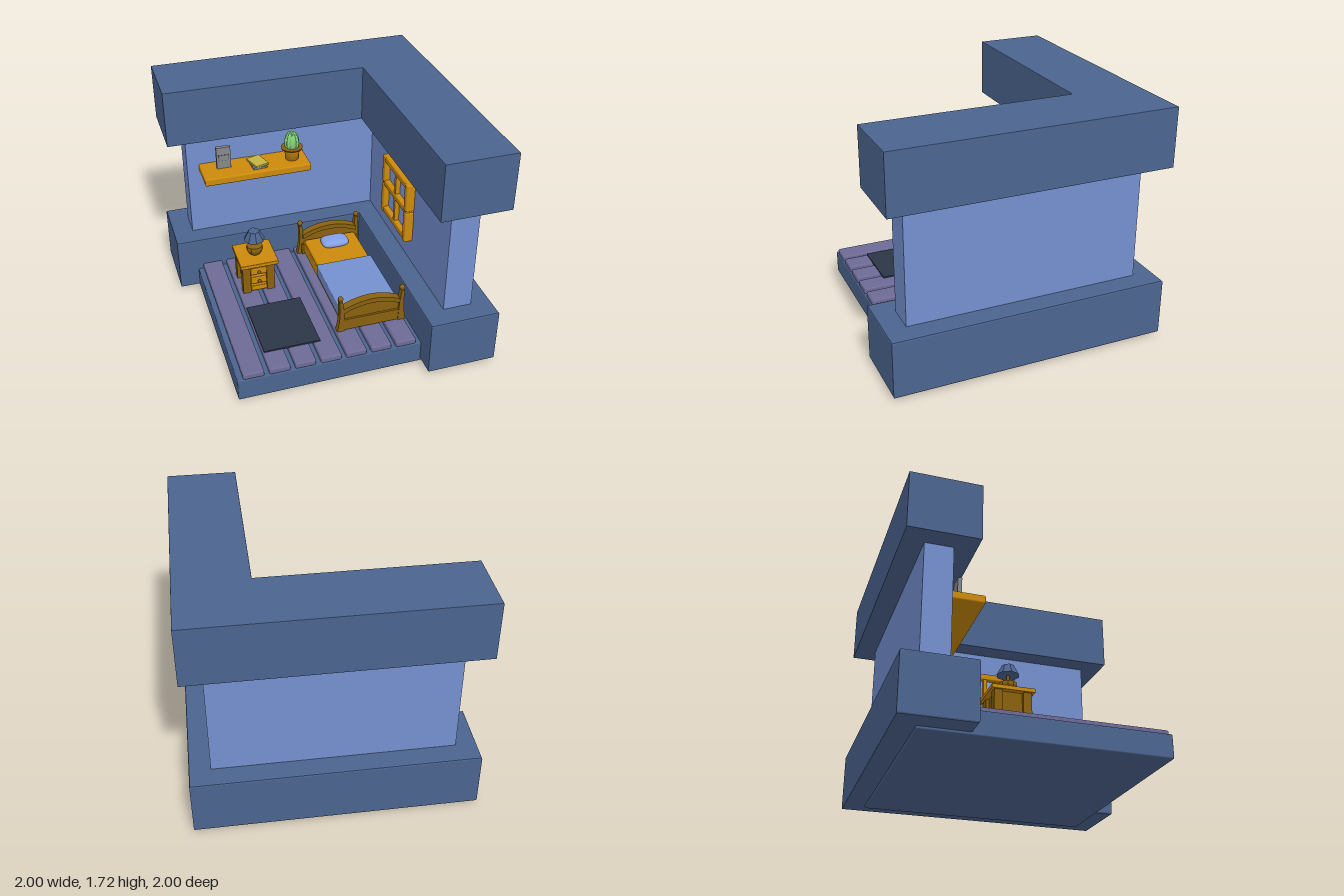
import * as THREE from 'three';
import { RoundedBoxGeometry } from 'three/addons/geometries/RoundedBoxGeometry.js';

const mat = (color, flat = false) => new THREE.MeshStandardMaterial({ color, flatShading: flat });
const M = {
  trim: mat(0x4b648f), wall: mat(0x7490cf), plank: mat(0x6d6a96), rug: mat(0x2b3648),
  wood: mat(0xcc8a0c), dark: mat(0x8a610f), darkFlat: mat(0x8a610f, true), shade: mat(0x4b648f, true),
  cloth: mat(0x7490cf), pillow: mat(0x84a0e6), grey: mat(0x85878c), line: mat(0x505358),
  green: mat(0x84d47c), yellow: mat(0xc4b440),
};

function add(parent, name, geo, material, x = 0, y = 0, z = 0) {
  const mesh = new THREE.Mesh(geo, material);
  mesh.name = name;
  mesh.position.set(x, y, z);
  parent.add(mesh);
  return mesh;
}

function group(parent, name) {
  const g = new THREE.Group();
  g.name = name;
  parent.add(g);
  return g;
}

// Box given by its extents; r rounds the edges
function box(parent, name, material, [x0, x1], [y0, y1], [z0, z1], r = 0) {
  const s = [x1 - x0, y1 - y0, z1 - z0];
  const geo = r ? new RoundedBoxGeometry(...s, 2, r) : new THREE.BoxGeometry(...s);
  return add(parent, name, geo, material, (x0 + x1) / 2, (y0 + y1) / 2, (z0 + z1) / 2);
}

// L-shaped block: outer half size, inner corner, height range and bevel
function corner(parent, name, material, o, inX, inZ, y0, y1, b) {
  const pts = [[-o, inZ], [inX, inZ], [inX, o], [o, o], [o, -o], [-o, -o]];
  const shape = new THREE.Shape(pts.map(([x, z]) => new THREE.Vector2(x, -z)));
  const geo = new THREE.ExtrudeGeometry(shape, {
    depth: y1 - y0 - 2 * b, bevelEnabled: b > 0, bevelSize: b, bevelThickness: b, bevelOffset: -b, bevelSegments: 2,
  });
  geo.rotateX(-Math.PI / 2);
  return add(parent, name, geo, material, 0, y0 + b, 0);
}

const lathe = (pts, n) => new THREE.LatheGeometry(pts.map(([r, y]) => new THREE.Vector2(r, y)), n);

// Arched slab; the lower edge is either straight or follows the arch
function arch(x0, x1, yEnd, yMid, low, depth, curved) {
  const s = new THREE.Shape();
  const c = (x0 + x1) / 2;
  s.moveTo(x0, curved ? yEnd - low : low);
  if (curved) s.quadraticCurveTo(c, 2 * yMid - yEnd - low, x1, yEnd - low);
  else s.lineTo(x1, low);
  s.lineTo(x1, yEnd);
  s.quadraticCurveTo(c, 2 * yMid - yEnd, x0, yEnd);
  const geo = new THREE.ExtrudeGeometry(s, { depth, bevelEnabled: false, curveSegments: 16 });
  return geo.translate(0, 0, -depth / 2);
}

function buildNightstand(root) {
  const g = group(root, 'nightstand');
  box(g, 'tableTop', M.wood, [-0.61, -0.32], [0.445, 0.475], [-0.31, -0.01], 0.004);
  for (const x of [-0.595, -0.41]) for (const z of [-0.29, -0.09])
    box(g, 'leg', M.dark, [x, x + 0.06], [0.21, 0.445], [z, z + 0.06]);
  box(g, 'cabinet', M.dark, [-0.57, -0.38], [0.26, 0.445], [-0.27, -0.06]);
  for (const [y0, y1] of [[0.37, 0.432], [0.287, 0.352], [0.225, 0.27]])
    box(g, 'drawer', M.wood, [-0.533, -0.412], [y0, y1], [-0.2, -0.028], 0.004);
  for (const y of [0.4, 0.32])
    add(g, 'knob', new THREE.SphereGeometry(0.013, 12, 8), M.dark, -0.473, y, -0.01);
}

function buildLamp(root) {
  const g = group(root, 'lamp');
  g.position.set(-0.468, 0.475, -0.155);
  add(g, 'lampBase', lathe([[0, 0], [0.03, 0], [0.052, 0.022], [0.064, 0.052], [0.06, 0.078], [0.035, 0.088], [0, 0.088]], 10), M.darkFlat);
  add(g, 'lampStem', new THREE.CylinderGeometry(0.01, 0.01, 0.1, 8), M.dark, 0, 0.125, 0);
  add(g, 'lampShade', new THREE.CylinderGeometry(0.043, 0.08, 0.072, 8), M.shade, 0, 0.17, 0);
}

function buildBed(root) {
  const g = group(root, 'bed');
  const c = 0.2;
  for (const [name, z, dir] of [['footboard', 0.575, 1], ['headboard', -0.41, -1]]) {
    const b = group(g, name);
    b.position.z = z;
    // Sway-sided posts topped with balls
    for (const s of [-1, 1]) {
      const p = new THREE.Shape();
      p.moveTo(-0.035, 0.215);
      p.lineTo(0.025, 0.215);
      p.quadraticCurveTo(0.022, 0.34, 0.005, 0.475);
      p.lineTo(-0.02, 0.475);
      p.quadraticCurveTo(-0.005, 0.34, -0.035, 0.215);
      const geo = new THREE.ExtrudeGeometry(p, { depth: 0.045, bevelEnabled: false }).translate(0, 0, -0.0225);
      if (s > 0) geo.rotateY(Math.PI);
      add(b, 'post', geo, M.dark, c + s * 0.227, 0, dir * 0.012);
      add(b, 'postBall', new THREE.SphereGeometry(0.02, 14, 10), M.dark, c + s * 0.233, 0.493, dir * 0.012);
    }
    add(b, 'archRail', arch(-0.02, 0.42, 0.4, 0.455, 0.038, 0.06, true), M.dark);
    add(b, 'panel', arch(-0.02, 0.42, 0.385, 0.435, 0.22, 0.03, false), M.dark);
    box(b, 'bottomRail', M.dark, [-0.03, 0.43], [0.22, 0.31], [-0.03, 0.03]);
  }
  box(g, 'bedFrame', M.wood, [-0.015, 0.41], [0.24, 0.33], [-0.4, 0.56], 0.008);
  box(g, 'mattress', M.wood, [-0.01, 0.405], [0.3, 0.355], [-0.38, 0.55], 0.015);
  box(g, 'blanket', M.cloth, [-0.022, 0.417], [0.27, 0.368], [-0.015, 0.52], 0.008);

  // Cushion with thin pinched rim
  const geo = new THREE.SphereGeometry(1, 24, 16);
  const p = geo.attributes.position;
  const sq = (v) => Math.sign(v) * Math.pow(Math.abs(v), 0.55);
  for (let i = 0; i < p.count; i++)
    p.setXYZ(i, sq(p.getX(i)) * 0.108, p.getY(i) * 0.032, sq(p.getZ(i)) * 0.072);
  geo.computeVertexNormals();
  add(g, 'pillow', geo, M.pillow, 0.205, 0.375, -0.27);
}

function buildCactus(root) {
  const g = group(root, 'cactus');
  g.position.set(-0.058, 1.03, -0.53);
  add(g, 'pot', lathe([[0, 0], [0.05, 0], [0.06, 0.085], [0.064, 0.085], [0.064, 0.098], [0, 0.098]], 20), M.wood);
  add(g, 'potRim', new THREE.CylinderGeometry(0.084, 0.08, 0.012, 20), M.dark, 0, 0.094, 0);
  // Ribbed ellipsoid
  const geo = new THREE.SphereGeometry(1, 60, 16);
  const p = geo.attributes.position;
  for (let i = 0; i < p.count; i++) {
    const k = 0.052 + 0.006 * Math.cos(10 * Math.atan2(p.getZ(i), p.getX(i)));
    p.setXYZ(i, p.getX(i) * k, p.getY(i) * 0.09, p.getZ(i) * k);
  }
  geo.computeVertexNormals();
  add(g, 'cactusBody', geo, M.green, 0, 0.14, 0);
}

function buildShelf(root) {
  const g = group(root, 'wallShelf');
  box(g, 'shelfBoard', M.wood, [-0.76, 0.058], [0.97, 1.03], [-0.66, -0.4], 0.012);
  // Stacked books
  for (const [name, m, y, turn] of [['lowerBook', M.grey, 1.041, 0.05], ['upperBook', M.yellow, 1.058, 0.3]]) {
    const book = add(g, name, new RoundedBoxGeometry(0.11, 0.016, 0.15, 1, 0.003), m, -0.335, y, -0.51);
    book.rotation.y = turn;
  }
  // Upright panel with a small framed inset
  const panel = group(g, 'standingPanel');
  panel.position.set(-0.587, 1.03, -0.55);
  box(panel, 'panelBody', M.grey, [-0.054, 0.054], [0, 0.175], [-0.015, 0.015]);
  box(panel, 'insetBorder', M.line, [-0.04, 0.04], [0.065, 0.113], [0.01, 0.017]);
  box(panel, 'inset', M.grey, [-0.037, 0.037], [0.068, 0.11], [0.01, 0.019]);
  buildCactus(g);
}

function buildWindow(root) {
  const g = group(root, 'window');
  const X = [0.575, 0.645], t = 0.05;
  for (const s of [-1, 1]) {
    const z = s * 0.22;
    box(g, 'stile', M.wood, X, [0.62, 0.872], [z - t / 2, z + t / 2], 0.01);
    box(g, 'stile', M.wood, X, [0.884, 1.11], [z - t / 2, z + t / 2], 0.01);
  }
  for (const y of [0.62, 0.855, 1.06])
    box(g, 'rail', M.wood, [0.58, 0.645], [y, y + t], [-0.235, 0.235], 0.01);
  box(g, 'mullion', M.wood, [0.585, 0.645], [0.64, 1.09], [-0.015, 0.015]);
  box(g, 'pane', M.pillow, [0.62, 0.645], [0.64, 1.09], [-0.22, 0.22]);
}

export function createModel() {
  const root = new THREE.Group();
  root.name = 'bedroom';

  // Room shell
  box(root, 'floorBase', M.trim, [-0.85, 0.85], [0, 0.17], [-0.85, 0.845], 0.01);
  corner(root, 'lowerTrim', M.trim, 1, 0.49, -0.5, 0.02, 0.44, 0.012);
  corner(root, 'walls', M.wall, 0.85, 0.64, -0.65, 0.4, 1.34, 0);
  corner(root, 'upperTrim', M.trim, 1, 0.49, -0.5, 1.295, 1.72, 0.004);

  // Floor planks
  for (let i = 0; i < 7; i++) {
    const x = -0.81 + i * 0.1855;
    box(root, 'floorPlank', M.plank, [x, x + 0.15], [0.165, 0.212], [-0.6, 0.84], 0.012);
  }
  box(root, 'rug', M.rug, [-0.617, -0.205], [0.208, 0.222], [0.15, 0.66]);

  buildNightstand(root);
  buildLamp(root);
  buildBed(root);
  buildShelf(root);
  buildWindow(root);
  return root;
}
